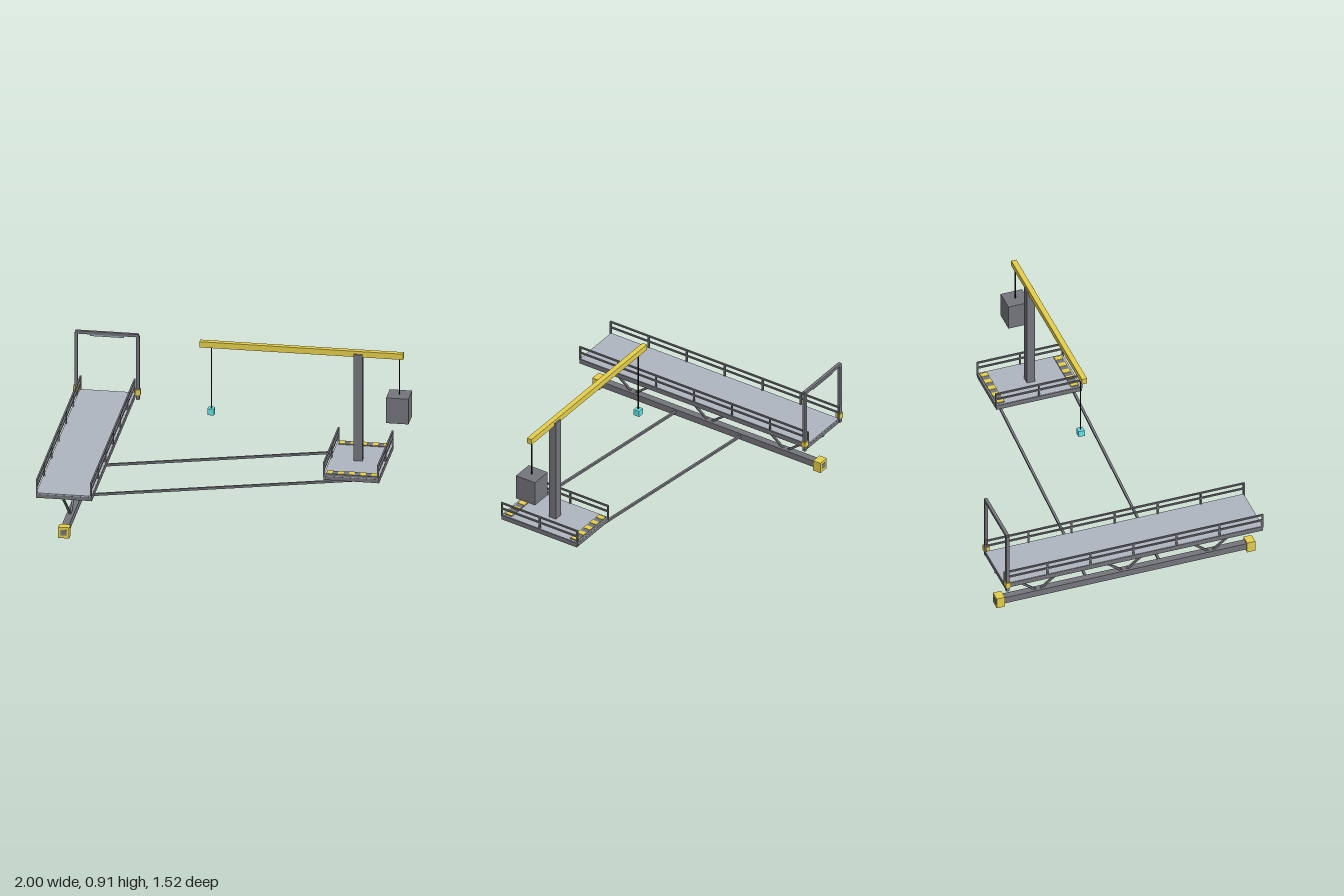
import * as THREE from 'three';

const mat = (name, color) => Object.assign(new THREE.MeshStandardMaterial({ color }), { name });

export function createModel() {
  const steel = mat('steel', 0x75767c);
  const plate = mat('deckPlate', 0xafb5c0);
  const yellow = mat('safetyYellow', 0xe6cf4c);
  const teal = mat('teal', 0x69e6ea);
  const lamp = mat('lampStrip', 0x93a8b6);
  const cable = mat('cable', 0x1a1c1e);

  const model = new THREE.Group();
  model.name = 'accessPlatform';

  const group = (name) => {
    const g = new THREE.Group();
    g.name = name;
    model.add(g);
    return g;
  };
  // Box given by its extents on each axis
  const box = (parent, name, m, [x0, x1], [y0, y1], [z0, z1]) => {
    const mesh = new THREE.Mesh(new THREE.BoxGeometry(x1 - x0, y1 - y0, z1 - z0), m);
    mesh.position.set((x0 + x1) / 2, (y0 + y1) / 2, (z0 + z1) / 2);
    mesh.name = name;
    parent.add(mesh);
  };
  // Square bar between two points
  const bar = (parent, name, m, a, b, w) => {
    const p = new THREE.Vector3(...a), q = new THREE.Vector3(...b);
    const mesh = new THREE.Mesh(new THREE.BoxGeometry(w, w, p.distanceTo(q)), m);
    mesh.position.copy(p).add(q).multiplyScalar(0.5);
    mesh.lookAt(q);
    mesh.name = name;
    parent.add(mesh);
  };

  // Framed deck with joists below and a guard rail along each side
  const deck = (name, x0, x1, half, joists, bays) => {
    const g = group(name);
    box(g, 'deckPlate', plate, [x0, x1], [0.25, 0.26], [-half, half]);
    for (const [a, b] of [[x0 - 0.003, x0 + 0.012], [x1 - 0.012, x1 + 0.003]])
      box(g, 'sideBeam', steel, [a, b], [0.23, 0.258], [-half, half]);
    for (let i = 0; i <= joists; i++) {
      const z = -half + 0.006 + (i / joists) * (2 * half - 0.012);
      box(g, 'joist', steel, [x0 + 0.01, x1 - 0.01], [0.231, 0.253], [z - 0.007, z + 0.007]);
    }
    for (const x of [x0 + 0.002, x1 - 0.002]) {
      for (let i = 0; i <= bays; i++) {
        const z = -half + (2 * half * i) / bays;
        bar(g, 'railPost', steel, [x, 0.25, z], [x, 0.337, z], 0.009);
      }
      for (const y of [0.3, 0.335])
        bar(g, 'guardRail', steel, [x, y, -half - 0.004], [x, y, half + 0.004], 0.009);
    }
    return g;
  };
  deck('longDeck', -0.965, -0.659, 0.756, 6, 6);
  const smallDeck = deck('smallDeck', 0.555, 0.86, 0.25, 4, 2);

  // Hazard strips: dark pads with yellow patches on top
  for (const z of [-0.22, 0.215]) {
    box(smallDeck, 'hazardPad', steel, [0.566, 0.849], [0.259, 0.264], [z - 0.023, z + 0.023]);
    for (let i = 0; i < 5; i++)
      box(smallDeck, 'hazardStripe', yellow,
        [0.568 + i * 0.062, 0.599 + i * 0.062], [0.262, 0.266], [z - 0.022, z + 0.022]);
  }

  // Lower chord with end caps and a small hub plate on each cap
  const truss = group('truss');
  box(truss, 'lowerChord', steel, [-0.834, -0.793], [0.014, 0.053], [-0.74, 0.74]);
  for (const s of [-1, 1]) {
    box(truss, 'endCap', yellow, [-0.844, -0.782], [0, 0.064], [s * 0.733 - 0.024, s * 0.733 + 0.024]);
    box(truss, 'capHub', steel, [-0.829, -0.797], [0.017, 0.049], [s * 0.757 - 0.002, s * 0.757 + 0.002]);
  }

  // Zigzag web between chord and deck
  for (let i = 0; i < 3; i++) {
    const z = (i - 1) * 0.505;
    for (const s of [-1, 1])
      bar(truss, 'diagonal', steel, [-0.814, 0.045, z + s * 0.01], [-0.814, 0.232, z + s * 0.252], 0.011);
  }

  // Long links between the two platforms
  for (const z of [-0.216, 0.214])
    bar(truss, 'linkArm', steel, [-0.81, 0.034, z], [0.71, 0.224, z], 0.013);

  // Gate frame at the back of the long deck
  const gate = group('gate');
  for (const x of [-0.985, -0.641]) {
    box(gate, 'gatePost', steel, [x - 0.009, x + 0.009], [0.224, 0.6], [-0.756, -0.738]);
    box(gate, 'hingeBlock', yellow, [x - 0.015, x + 0.015], [0.252, 0.285], [-0.761, -0.732]);
  }
  box(gate, 'gateTop', steel, [-0.99, -0.636], [0.596, 0.613], [-0.756, -0.738]);
  box(gate, 'lampStrip', lamp, [-0.907, -0.719], [0.585, 0.597], [-0.752, -0.742]);

  // Crane: mast, boom, counterweight and hook
  const crane = group('crane');
  box(crane, 'mast', steel, [0.684, 0.733], [0.255, 0.892], [-0.023, 0.023]);
  box(crane, 'boom', yellow, [-0.176, 0.959], [0.875, 0.909], [-0.015, 0.015]);
  box(crane, 'counterweight', steel, [0.872, 0.997], [0.513, 0.663], [-0.063, 0.063]);
  bar(crane, 'weightCable', cable, [0.936, 0.66, 0], [0.936, 0.88, 0], 0.005);
  bar(crane, 'hookCable', cable, [-0.112, 0.51, 0], [-0.112, 0.88, 0], 0.005);
  box(crane, 'hookBlock', teal, [-0.131, -0.094], [0.476, 0.513], [-0.018, 0.018]);

  return model;
}
